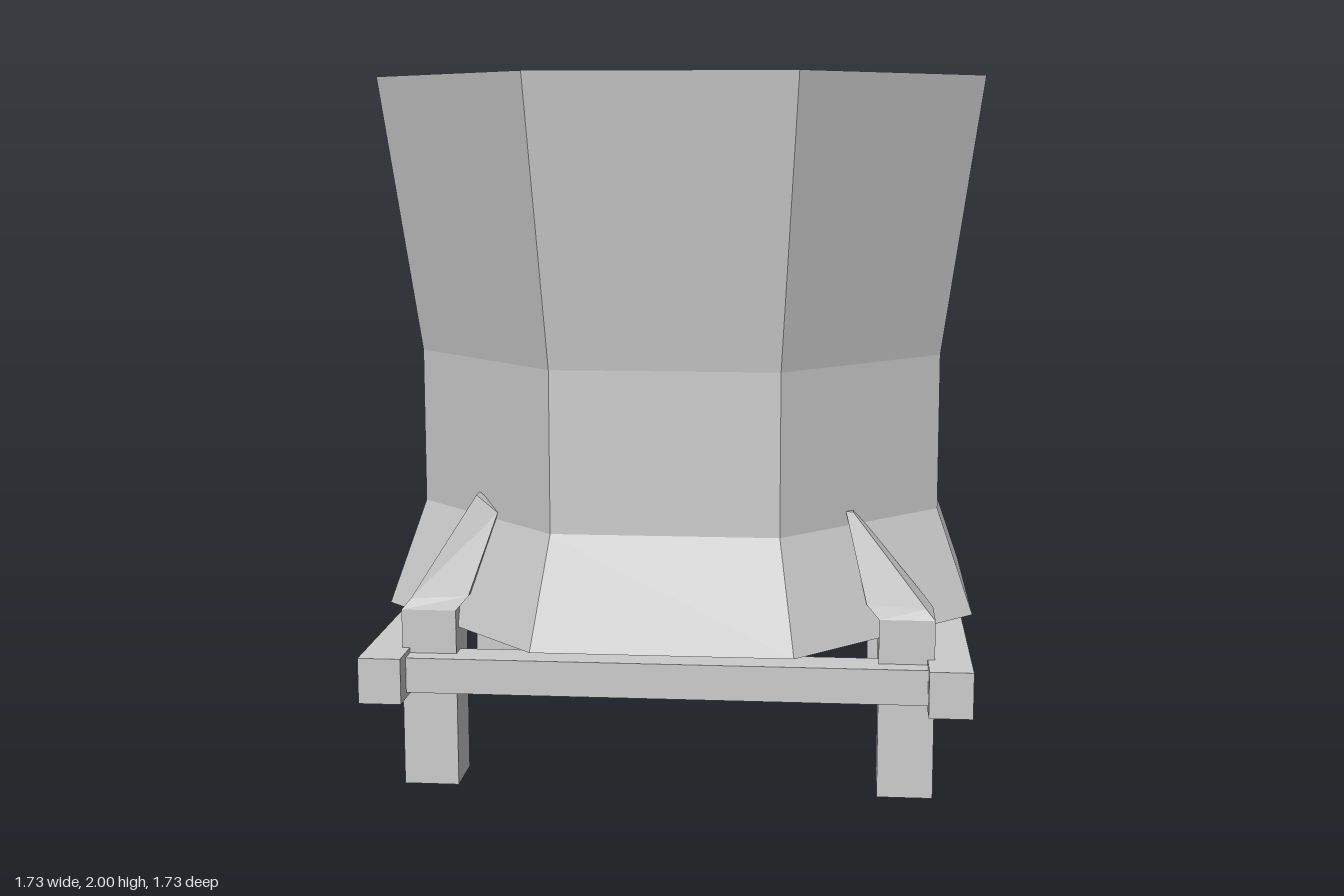
import * as THREE from 'three';

const mat = new THREE.MeshStandardMaterial({ color: 0xcccccc, flatShading: true });
const thinMat = new THREE.MeshStandardMaterial({ color: 0xcccccc, flatShading: true, side: THREE.DoubleSide });

function mesh(name, geometry, material = mat) {
  const m = new THREE.Mesh(geometry, material);
  m.name = name;
  return m;
}

// Box given by its limits on each axis
function beam(name, [x0, x1], [y0, y1], [z0, z1]) {
  const m = mesh(name, new THREE.BoxGeometry(x1 - x0, y1 - y0, z1 - z0));
  m.position.set((x0 + x1) / 2, (y0 + y1) / 2, (z0 + z1) / 2);
  return m;
}

// Skin over four-cornered rings, open at the bottom and closed at the top
function loft(rings) {
  const index = [];
  for (let r = 0; r < rings.length - 1; r++) {
    for (let i = 0; i < 4; i++) {
      const a = r * 4 + i, b = r * 4 + (i + 1) % 4;
      index.push(a, b, b + 4, a, b + 4, a + 4);
    }
  }
  const t = (rings.length - 1) * 4;
  index.push(t, t + 1, t + 2, t, t + 2, t + 3);
  const g = new THREE.BufferGeometry();
  g.setAttribute('position', new THREE.Float32BufferAttribute(rings.flat(2), 3));
  g.setIndex(index);
  g.computeVertexNormals();
  return g;
}

// Square post ending in a claw that leans in against the vessel
function post(name, sx, sz, outer, tipOut, tipIn, tipZ) {
  const inner = outer - 0.155;
  // o, i: [distance from middle, height] on the outer and inner side
  const ring = (o, i, z0, z1) => {
    const pts = [[o, z0], [o, z1], [i, z1], [i, z0]].map(([p, z]) => [sx * p[0], p[1], sz * z]);
    return sx * sz > 0 ? pts.reverse() : pts;
  };
  return mesh(name, loft([
    ring([outer, 0], [inner, 0], 0.49, 0.645),
    ring([outer, 0.51], [inner, 0.51], 0.49, 0.645),
    ring([outer - 0.025, 0.54], [inner - 0.035, 0.55], 0.475, 0.635),
    ring(tipOut, tipIn, tipZ - 0.025, tipZ + 0.025),
  ]), thinMat);
}

export function createModel() {
  const group = new THREE.Group();

  // Eight-sided vessel: underside cone, flared shell, sloped rim, inner funnel
  const profile = [
    [0, 0.265], [0.775, 0.44], [0.775, 0.455], [0.86, 0.455], [0.755, 0.76],
    [0.755, 1.21], [0.865, 2], [0.725, 1.92], [0.725, 1.15], [0.33, 0.72], [0, 0.4],
  ].map(([apothem, y]) => new THREE.Vector2(apothem / Math.cos(Math.PI / 8), y));
  group.add(mesh('vessel', new THREE.LatheGeometry(profile, 8, Math.PI / 8)));

  // Timber frame
  group.add(
    beam('leftBeam', [0.72, 0.84], [0.27, 0.4], [-0.81, 0.765]),
    beam('rightBeam', [-0.855, -0.735], [0.27, 0.4], [-0.81, 0.765]),
    beam('frontBeam', [-0.74, 0.725], [0.285, 0.385], [0.59, 0.7]),
    beam('backBeam', [-0.74, 0.725], [0.285, 0.385], [-0.765, -0.65]),
  );

  // Corner posts
  group.add(
    post('frontLeftPost', 1, 1, 0.74, [0.51, 0.8], [0.49, 0.8], 0.555),
    post('frontRightPost', -1, 1, 0.757, [0.55, 0.83], [0.49, 0.78], 0.555),
    post('backLeftPost', 1, -1, 0.725, [0.51, 0.8], [0.49, 0.78], 0.54),
    post('backRightPost', -1, -1, 0.775, [0.55, 0.82], [0.5, 0.78], 0.555),
  );
  return group;
}
